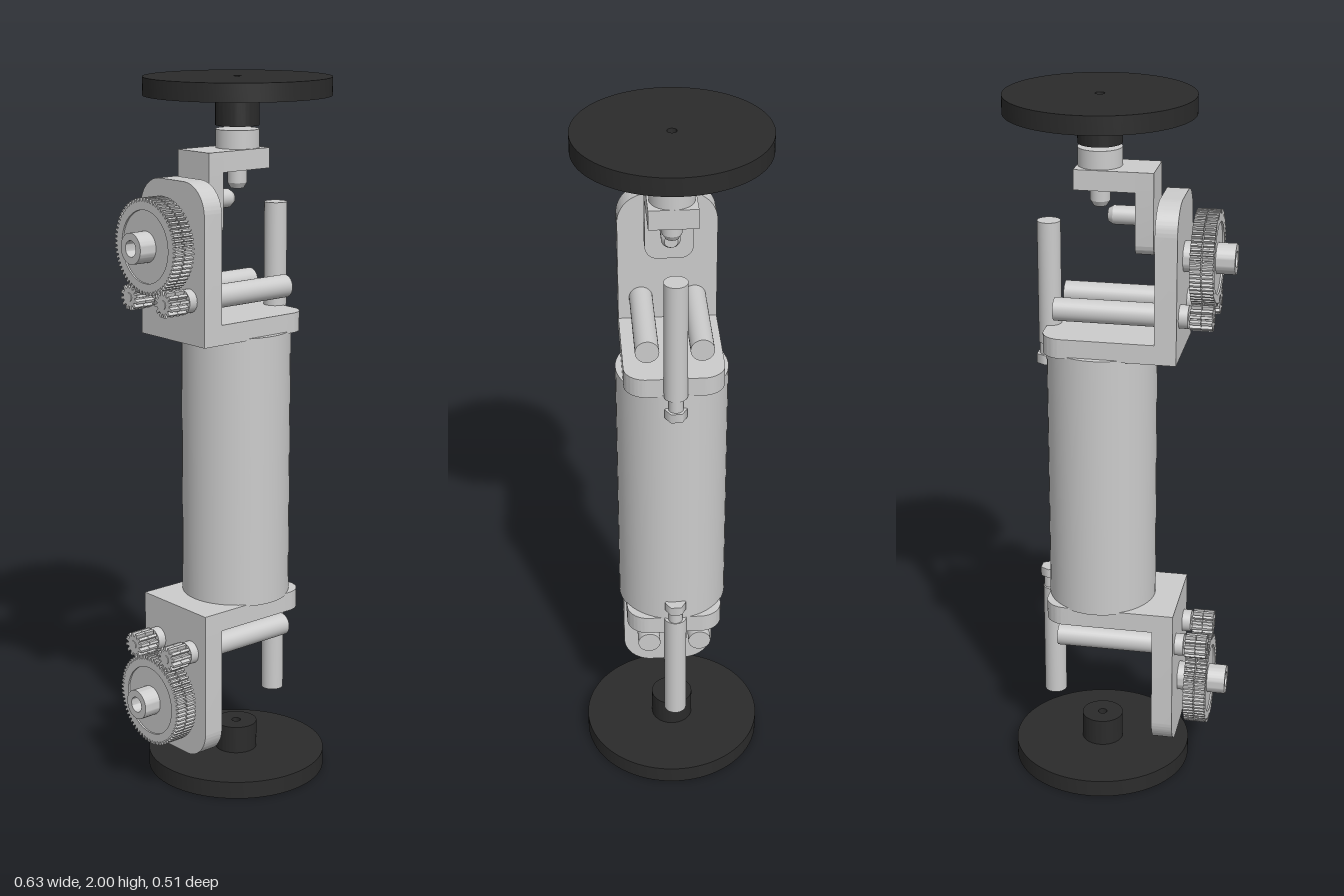
import * as THREE from 'three';
import { toCreasedNormals } from 'three/addons/utils/BufferGeometryUtils.js';

const grey = new THREE.MeshStandardMaterial({ color: 0xcccccc });
const black = new THREE.MeshStandardMaterial({ color: 0x2b2b2b });
const AXIS = 0.055; // x of the main vertical axis

function add(parent, name, geometry, x = 0, y = 0, z = 0, material = grey) {
  const mesh = new THREE.Mesh(geometry, material);
  mesh.name = name;
  mesh.position.set(x, y, z);
  parent.add(mesh);
  return mesh;
}

// Cylinder along y from y0 to y1
function rodY(parent, name, r, x, y0, y1, z = 0, sides = 32, rTop = r) {
  return add(parent, name, new THREE.CylinderGeometry(rTop, r, y1 - y0, sides), x, (y0 + y1) / 2, z);
}

// Cylinder along x from x0 to x1
function rodX(parent, name, r, x0, x1, y, z = 0, rEnd = r) {
  const g = new THREE.CylinderGeometry(rEnd, r, x1 - x0, 32).rotateZ(-Math.PI / 2);
  return add(parent, name, g, (x0 + x1) / 2, y, z);
}

function hole(shape, r, x = 0, y = 0) {
  shape.holes.push(new THREE.Path().absarc(x, y, r, 0, Math.PI * 2, true));
  return shape;
}

const disc = (r) => new THREE.Shape().absarc(0, 0, r, 0, Math.PI * 2, false);

function extrude(shape, depth, curveSegments = 32) {
  const g = new THREE.ExtrudeGeometry(shape, { depth, bevelEnabled: false, curveSegments });
  return toCreasedNormals(g, 0.5);
}

// Extrusions along +x and along +y, starting at 0
const alongX = (shape, depth, seg) => extrude(shape, depth, seg).rotateY(Math.PI / 2);
const alongY = (shape, depth, seg) => extrude(shape, depth, seg).rotateX(-Math.PI / 2);

// Plate with a square base at y0 and rounded upper corners at y1
function tab(half, y0, y1, r) {
  const s = new THREE.Shape();
  s.moveTo(-half, y0);
  s.lineTo(half, y0);
  s.lineTo(half, y1 - r);
  s.absarc(half - r, y1 - r, r, 0, Math.PI / 2, false);
  s.lineTo(-half + r, y1);
  s.absarc(-half + r, y1 - r, r, Math.PI / 2, Math.PI, false);
  s.closePath();
  return s;
}

function gearShape(teeth, root, tip, bore) {
  const s = new THREE.Shape();
  const step = (Math.PI * 2) / teeth;
  const profile = [[0, root], [0.3, root], [0.45, tip], [0.85, tip]];
  for (let i = 0; i < teeth; i++) {
    profile.forEach(([t, r], k) => {
      const a = (i + t) * step;
      s[i + k ? 'lineTo' : 'moveTo'](r * Math.cos(a), r * Math.sin(a));
    });
  }
  s.closePath();
  return hole(s, bore);
}

// Wheel disc with a bored hub on its inner side
function makeWheel(name) {
  const wheel = new THREE.Group();
  wheel.name = name;
  add(wheel, 'wheelDisc', alongY(hole(disc(0.257), 0.013), 0.05, 64), AXIS, 1.95, 0, black);
  add(wheel, 'wheelHub', alongY(hole(disc(0.06), 0.013), 0.08), AXIS, 1.87, 0, black);
  return wheel;
}

// Bracket, gears and rods at one end of the body
function makeEnd(name) {
  const end = new THREE.Group();
  end.name = name;

  // L-shaped bracket
  const upright = hole(tab(0.135, 1.305, 1.74, 0.085), 0.022, 0, 1.57);
  add(end, 'bracketUpright', alongX(upright, 0.06), -0.175);
  const foot = tab(0.135, 0.115, 0.2, 0.06).getPoints(12)
    .map((p) => new THREE.Vector2(p.y, -p.x));
  add(end, 'bracketFoot', alongY(new THREE.Shape(foot), 0.055), 0, 1.305);
  add(end, 'bracketCorner', new THREE.BoxGeometry(0.232, 0.055, 0.27), -0.001, 1.3325);

  // Twin spur gears on a bored axle
  for (const x of [-0.268, -0.235]) {
    const rim = gearShape(64, 0.12, 0.13, 0.098);
    add(end, 'gearRim', alongX(rim, 0.03), x, 1.57);
    add(end, 'gearWeb', alongX(hole(disc(0.099), 0.03), 0.02), x + 0.005, 1.57);
  }
  add(end, 'gearAxle', alongX(hole(disc(0.042), 0.022), 0.14), -0.315, 1.57);

  // Motor rods with pinions
  for (const z of [-0.073, 0.073]) {
    rodX(end, 'motorRod', 0.032, -0.2, 0.168, 1.425, z);
    rodX(end, 'pinionShaft', 0.012, -0.268, -0.2, 1.425, z);
    for (const x of [-0.266, -0.235]) {
      add(end, 'pinion', alongX(gearShape(12, 0.025, 0.036, 0.011), 0.03), x, 1.425, z);
    }
  }

  // Upright guide rod with its neck and nut
  rodY(end, 'guideRod', 0.032, 0.197, 1.305, 1.65);
  rodY(end, 'guideNeck', 0.02, 0.207, 1.265, 1.305);
  rodY(end, 'guideNut', 0.03, 0.207, 1.243, 1.27, 0, 6);
  return end;
}

// Swivel link below the top wheel
function makeSwivel() {
  const swivel = new THREE.Group();
  swivel.name = 'swivelLink';
  const arm = tab(0.065, -1.81, -1.58, 0.035);
  const armGeometry = alongX(arm, 0.05).rotateX(Math.PI);
  add(swivel, 'swivelArm', armGeometry, -0.1);
  add(swivel, 'swivelShelf', new THREE.BoxGeometry(0.165, 0.055, 0.13), 0.0325, 1.7825);
  rodY(swivel, 'swivelBoss', 0.06, AXIS, 1.81, 1.86, 0, 48);
  rodY(swivel, 'lowerPin', 0.027, AXIS, 1.715, 1.755);
  rodY(swivel, 'lowerPinTip', 0.018, AXIS, 1.7, 1.715, 0, 32, 0.027);
  rodX(swivel, 'sidePin', 0.026, -0.05, 0.018, 1.675);
  rodX(swivel, 'sidePinTip', 0.026, 0.018, 0.032, 1.675, 0, 0.018);
  return swivel;
}

export function createModel() {
  const model = new THREE.Group();
  model.name = 'jointedArmSegment';

  rodY(model, 'bodyTube', 0.153, 0.052, 0.54, 1.31, 0, 48);

  model.add(makeEnd('upperEnd'));
  const lowerEnd = makeEnd('lowerEnd');
  lowerEnd.rotation.x = Math.PI;
  lowerEnd.position.y = 1.85;
  model.add(lowerEnd);

  model.add(makeSwivel());

  model.add(makeWheel('topWheel'));
  const bottomWheel = makeWheel('bottomWheel');
  bottomWheel.rotation.x = Math.PI;
  bottomWheel.position.y = 2;
  model.add(bottomWheel);

  return model;
}
